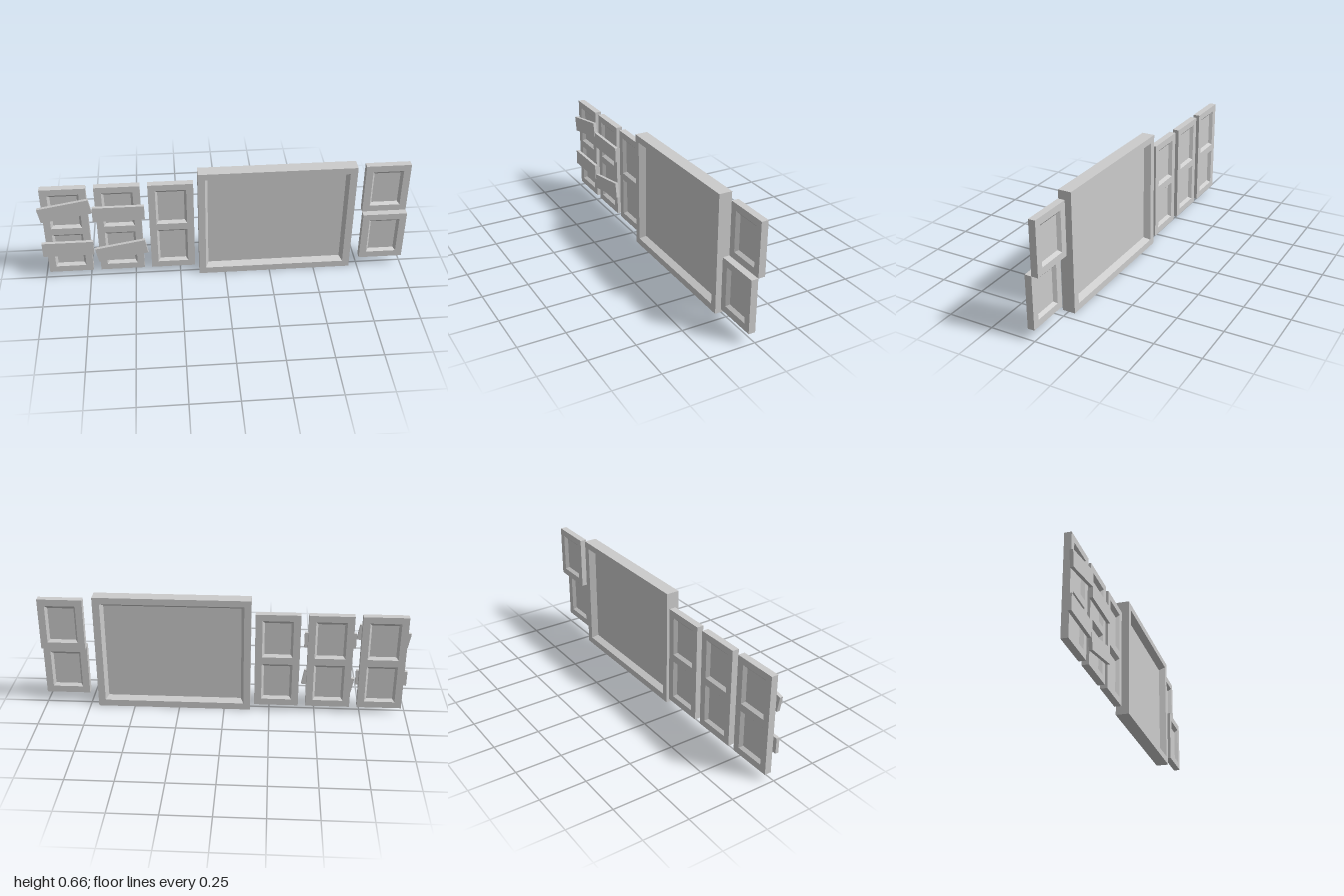
import * as THREE from 'three';
import { mergeGeometries } from 'three/addons/utils/BufferGeometryUtils.js';

const material = new THREE.MeshStandardMaterial({ color: 0xcccccc, flatShading: true });
const paneMaterial = new THREE.MeshStandardMaterial({ color: 0xcccccc, side: THREE.DoubleSide });

// Rectangles are [x0, y0, x1, y1]; corners run counter-clockwise seen from the front.
const corners = ([x0, y0, x1, y1]) => [[x0, y0], [x1, y0], [x1, y1], [x0, y1]];

// Four walls joining rectangle a at za to rectangle b at zb.
function walls(out, a, za, b, zb) {
  const A = corners(a), B = corners(b);
  for (let i = 0; i < 4; i++) {
    const j = (i + 1) % 4;
    const p = [...A[i], za], q = [...A[j], za], r = [...B[j], zb], s = [...B[i], zb];
    out.push(...p, ...q, ...r, ...p, ...r, ...s);
  }
}

// Flat rectangle with holes, facing forwards or backwards.
function face(outer, holes, z, front) {
  const toPoints = (r) => corners(r).map(([x, y]) => new THREE.Vector2(x, y));
  const shape = new THREE.Shape(toPoints(outer));
  holes.forEach((h) => shape.holes.push(new THREE.Path(toPoints(h).reverse())));
  const geo = new THREE.ShapeGeometry(shape);
  if (!front) geo.index.array.reverse();
  geo.translate(0, 0, z);
  geo.deleteAttribute('uv');
  geo.deleteAttribute('normal');
  return geo.toNonIndexed();
}

// Window: a frame whose openings taper from both sides to a thin pane in the middle.
// The taper is wider at the top of each opening than at its sides and sill.
function makeWindow(name, outer, holes, zBack, zFront, bevel, topBevel) {
  const group = new THREE.Group();
  group.name = name;
  const mid = (zBack + zFront) / 2;
  const strips = [];
  walls(strips, outer, zBack, outer, zFront);
  for (const hole of holes) {
    const [x0, y0, x1, y1] = hole;
    const opening = [x0 + bevel, y0 + bevel, x1 - bevel, y1 - topBevel];
    walls(strips, hole, zFront, opening, mid);
    walls(strips, opening, mid, hole, zBack);
    const pane = new THREE.Mesh(new THREE.PlaneGeometry(opening[2] - opening[0], opening[3] - opening[1]), paneMaterial);
    pane.name = 'pane';
    pane.position.set((opening[0] + opening[2]) / 2, (opening[1] + opening[3]) / 2, mid);
    group.add(pane);
  }
  const sides = new THREE.BufferGeometry();
  sides.setAttribute('position', new THREE.Float32BufferAttribute(strips, 3));
  const geo = mergeGeometries([sides, face(outer, holes, zFront, true), face(outer, holes, zBack, false)]);
  geo.computeVertexNormals();
  const frame = new THREE.Mesh(geo, material);
  frame.name = 'frame';
  group.add(frame);
  return group;
}

export function createModel() {
  const model = new THREE.Group();
  model.name = 'windowSet';

  // Three two-pane windows
  [-0.976, -0.692, -0.409].forEach((x, i) => {
    const holes = [0.073, 0.331].map((y) => [x + 0.038, y, x + 0.204, y + 0.217]);
    model.add(makeWindow(`doubleWindow${i + 1}`, [x, 0.036, x + 0.242, 0.584], holes, -0.037, 0, 0.012, 0.019));
  });

  // Large picture window
  model.add(makeWindow('pictureWindow', [-0.144, 0, 0.703, 0.66],
    [[-0.107, 0.038, 0.664, 0.624]], -0.037, 0.034, 0.015, 0.022));

  // Sash window: lower sash in front of the upper one
  model.add(makeWindow('upperSash', [0.757, 0.352, 0.999, 0.643],
    [[0.795, 0.389, 0.961, 0.606]], -0.037, 0, 0.012, 0.019));
  model.add(makeWindow('lowerSash', [0.757, 0.06, 0.999, 0.352],
    [[0.795, 0.098, 0.961, 0.315]], 0, 0.037, 0.012, 0.019));

  // Boards nailed across the first two windows: x, y, tilt in degrees
  const boards = [[-0.855, 0.454, 10], [-0.859, 0.202, 0], [-0.571, 0.423, 0], [-0.569, 0.173, 10]];
  const boardGeo = new THREE.BoxGeometry(0.278, 0.087, 0.018);
  boards.forEach(([x, y, tilt], i) => {
    const board = new THREE.Mesh(boardGeo, material);
    board.name = `board${i + 1}`;
    board.position.set(x, y, 0.009);
    board.rotation.z = THREE.MathUtils.degToRad(tilt);
    model.add(board);
  });
  return model;
}
